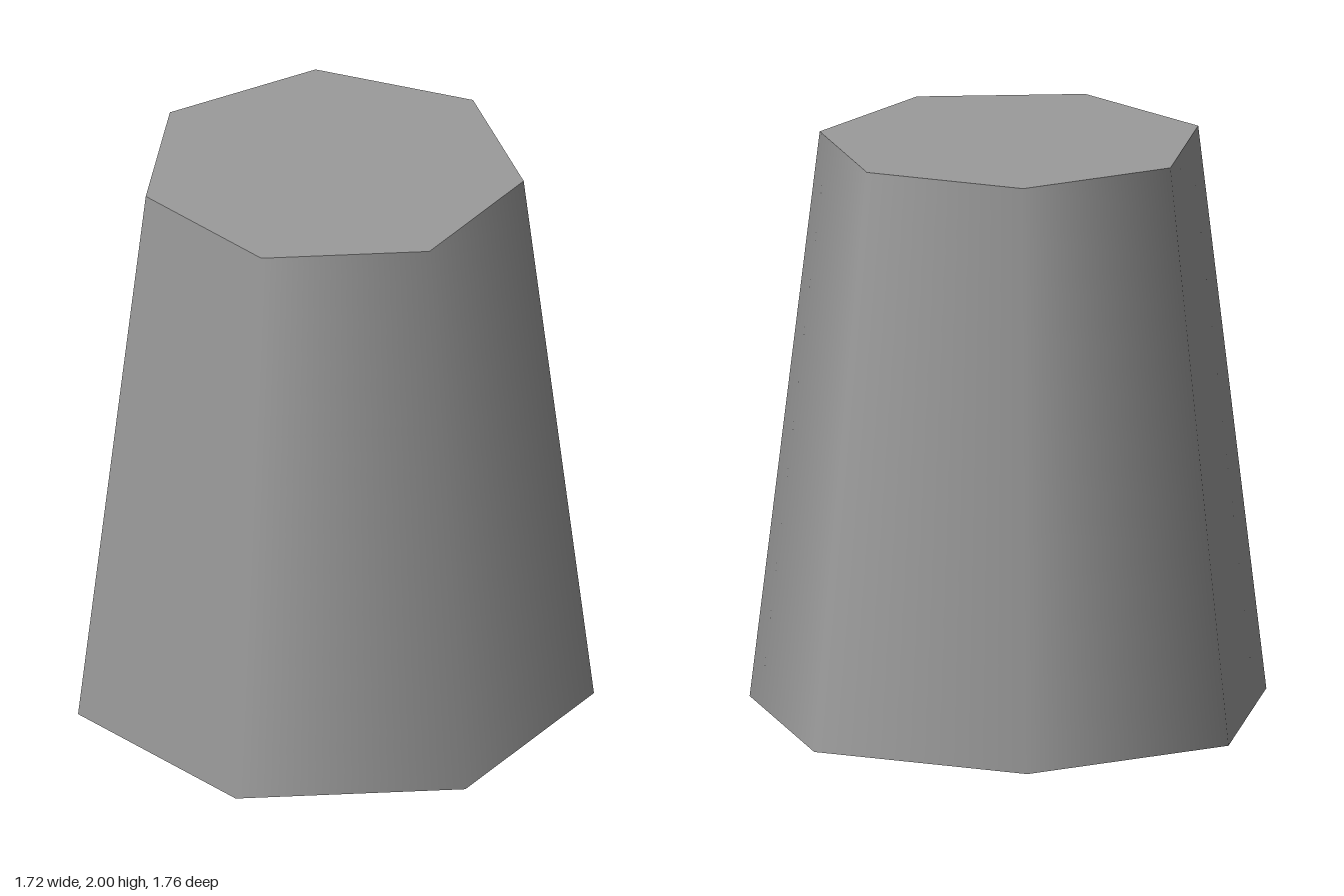
import * as THREE from 'three';

const SIDES = 7;

// Seven-sided band between two profile points, with a corner towards +x;
// several rows keep the smooth shading even along a tall band
function band(name, [r0, y0], [r1, y1], material, rows = 1) {
  const start = new THREE.Vector2(r0, y0);
  const end = new THREE.Vector2(r1, y1);
  const points = Array.from({ length: rows + 1 }, (_, i) => start.clone().lerp(end, i / rows));
  const mesh = new THREE.Mesh(new THREE.LatheGeometry(points, SIDES, Math.PI / 2), material);
  mesh.name = name;
  return mesh;
}

export function createModel() {
  const group = new THREE.Group();
  group.name = 'taperedPedestal';
  const shell = new THREE.MeshStandardMaterial({ color: 0x9b9b9b });
  const inner = new THREE.MeshStandardMaterial({ color: 0xcccccc });

  // Separate bands keep the rims sharp while the sides shade smoothly
  group.add(
    band('recessCeiling', [0, 0.04], [0.65, 0.04], inner),
    band('recessWall', [0.65, 0.04], [0.65, 0], shell),
    band('bottomRim', [0.65, 0], [0.905, 0], shell),
    band('taperedSide', [0.905, 0], [0.663, 2], shell, 12),
    band('topFace', [0.663, 2], [0, 2], shell),
  );

  // An odd-sided ring is not symmetric in x, so shift it to centre its bounds
  group.position.x = -0.045;
  return group;
}
